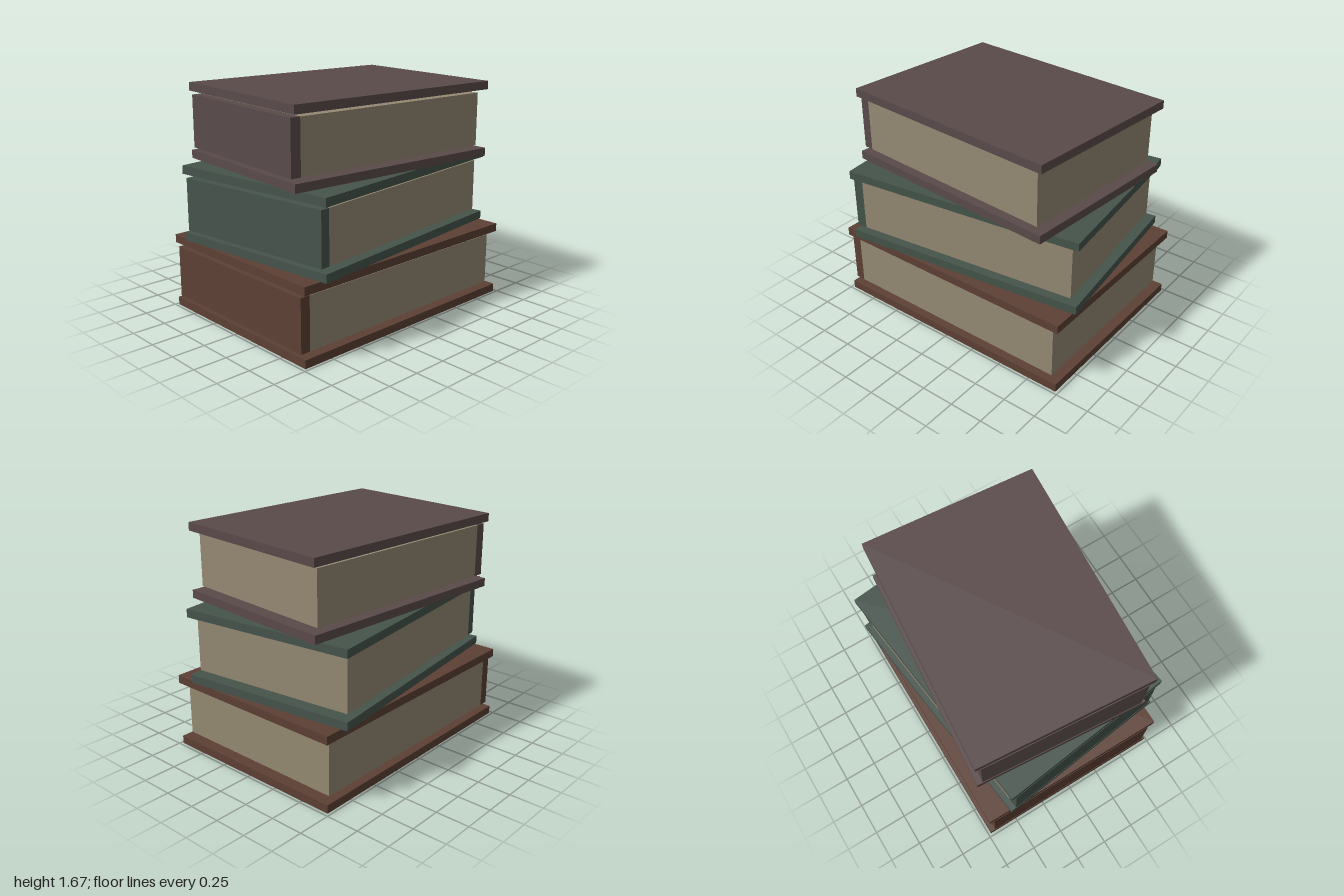
import * as THREE from 'three';

const COVER = 0.061; // cover thickness
const GAP = 0.024; // space between cover and page block
const PAGES = 0.387; // page block height
const BOOK = 2 * (COVER + GAP) + PAGES;
const SPINE = 0.075; // spine thickness

const makeMaterial = (name, color) => {
  const m = new THREE.MeshStandardMaterial({ color });
  m.name = name;
  return m;
};

function addBox(parent, name, size, position, material) {
  const mesh = new THREE.Mesh(new THREE.BoxGeometry(...size), material);
  mesh.name = name;
  mesh.position.set(...position);
  parent.add(mesh);
}

// One closed book lying flat, spine towards -x
function makeBook(name, width, depth, coverMaterial, pageMaterial) {
  const book = new THREE.Group();
  book.name = name;
  const innerDepth = depth - 0.08;
  const left = -width / 2 + SPINE;
  const right = width / 2 - 0.061;
  const midY = BOOK / 2;

  addBox(book, 'bottomCover', [width, COVER, depth], [0, COVER / 2, 0], coverMaterial);
  addBox(book, 'topCover', [width, COVER, depth], [0, BOOK - COVER / 2, 0], coverMaterial);
  addBox(book, 'spine', [SPINE, PAGES, innerDepth], [left - SPINE / 2, midY, 0], coverMaterial);
  addBox(book, 'pages', [right - left, PAGES, innerDepth], [(left + right) / 2, midY, 0], pageMaterial);
  return book;
}

export function createModel() {
  const model = new THREE.Group();
  model.name = 'bookStack';
  const paper = makeMaterial('agedPaper', 0x948972);

  // name, width, depth, turn, colour name, colour
  const books = [
    ['bottomBook', 1.954, 1.46, 0, 'brownCover', 0x5d4035],
    ['middleBook', 1.852, 1.345, 0.12, 'greenCover', 0x45544b],
    ['topBook', 1.73, 1.295, -0.08, 'plumCover', 0x5a4a4a],
  ];
  books.forEach(([name, width, depth, turn, colourName, colour], i) => {
    const book = makeBook(name, width, depth, makeMaterial(colourName, colour), paper);
    book.position.y = i * BOOK;
    book.rotation.y = turn;
    model.add(book);
  });
  return model;
}
